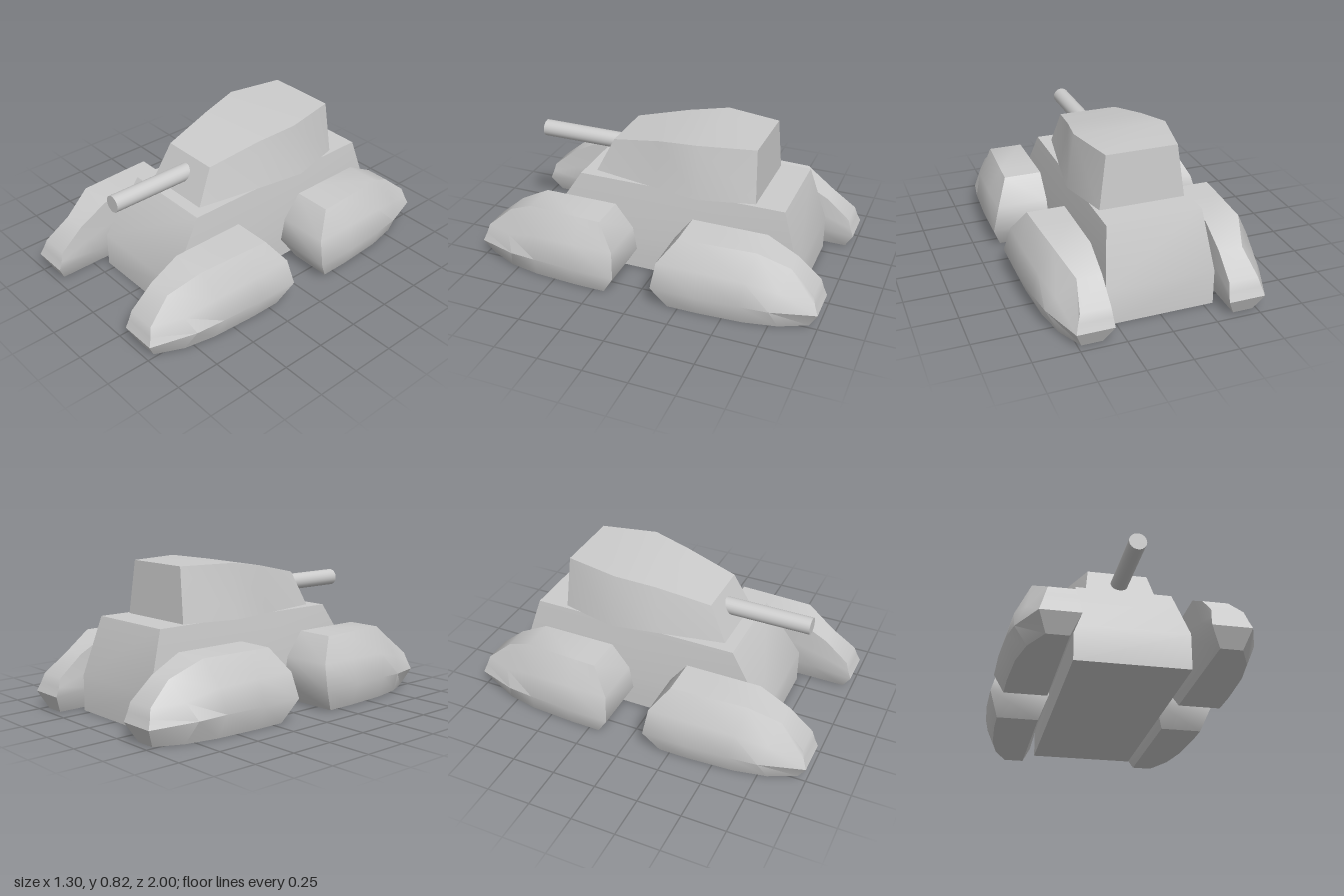
import * as THREE from 'three';
import { toCreasedNormals } from 'three/addons/utils/BufferGeometryUtils.js';

const material = new THREE.MeshStandardMaterial({ color: 0xcccccc });

// Skin a list of equal rings (counter-clockwise seen from the last ring) and cap both ends.
function loft(rings) {
  const n = rings[0].length, last = rings.length - 1, index = [];
  const quad = (a, b, c, d) => index.push(a, b, c, a, c, d);
  for (let s = 0; s < last; s++) {
    for (let i = 0; i < n; i++) {
      const j = (i + 1) % n;
      quad(s * n + i, s * n + j, (s + 1) * n + j, (s + 1) * n + i);
    }
  }
  for (let i = 0; i < n / 2 - 1; i++) {
    const a = i, b = i + 1, c = n - 2 - i, d = n - 1 - i, e = last * n;
    quad(d, c, b, a);
    quad(e + a, e + b, e + c, e + d);
  }
  const geometry = new THREE.BufferGeometry();
  geometry.setAttribute('position', new THREE.Float32BufferAttribute(rings.flat(2), 3));
  geometry.setIndex(index);
  return toCreasedNormals(geometry, 0.7);
}

function mesh(name, geometry) {
  const m = new THREE.Mesh(geometry, material);
  m.name = name;
  return m;
}

// Hull levels: y, half width, front z, rear z
function hull() {
  const levels = [[0, 0.305, 0.68, -0.83], [0.2, 0.305, 0.68, -0.83], [0.525, 0.265, 0.47, -0.73]];
  return mesh('hull', loft(levels.map(([y, w, f, r]) =>
    [[-w, y, f], [w, y, f], [w, y, r], [-w, y, r]])));
}

// Turret stations: bottom half width, bottom z, top half width, top y, top z
function turret() {
  const stations = [
    [0.24, -0.56, 0.2, 0.825, -0.545],
    [0.315, -0.25, 0.265, 0.825, -0.23],
    [0.27, 0.02, 0.222, 0.79, 0],
    [0.2, 0.4, 0.17, 0.725, 0.3],
  ];
  const base = 0.525;
  return mesh('turret', loft(stations.map(([bw, bz, tw, ty, tz]) =>
    [[bw, base, bz], [tw, ty, tz], [-tw, ty, tz], [-bw, base, bz]])));
}

// Track pod stations: outer points from the bottom edge up to the top edge
const podStations = [
  [[0.6, 0, 0.19], [0.65, 0.13, 0.11], [0.61, 0.27, 0.13], [0.54, 0.405, 0.23]],
  [[0.6, 0, 0.36], [0.65, 0.13, 0.36], [0.612, 0.27, 0.36], [0.535, 0.405, 0.36]],
  [[0.585, 0, 0.62], [0.635, 0.13, 0.6], [0.6, 0.26, 0.62], [0.52, 0.405, 0.66]],
  [[0.55, 0, 0.8], [0.61, 0.12, 0.76], [0.56, 0.21, 0.8], [0.46, 0.315, 0.83]],
  [[0.48, 0, 0.95], [0.52, 0.1, 1], [0.505, 0.15, 0.98], [0.49, 0.2, 0.965]],
];
const podInnerX = [0.365, 0.315, 0.32, 0.325];

function trackPod(name, sx, sz) {
  const rings = podStations.map((outer) => {
    const inner = outer.map(([, y, z], i) => [podInnerX[i], y, z]).reverse();
    return [...outer, ...inner].map(([x, y, z]) => [x * sx, y, z * sz]);
  });
  if (sx * sz < 0) rings.reverse(); // keep faces outward when mirrored once
  return mesh(name, loft(rings));
}

export function createModel() {
  const model = new THREE.Group();
  model.name = 'tank';
  model.add(hull(), turret());

  // Gun barrel, sunk into the turret front
  const barrel = mesh('gunBarrel', new THREE.CylinderGeometry(0.048, 0.048, 0.54, 24));
  barrel.rotation.x = Math.PI / 2;
  barrel.position.set(0, 0.633, 0.55);
  model.add(barrel);

  for (const [side, sx] of [['Left', 1], ['Right', -1]]) {
    model.add(trackPod(`front${side}TrackPod`, sx, 1), trackPod(`rear${side}TrackPod`, sx, -1));
  }
  return model;
}
